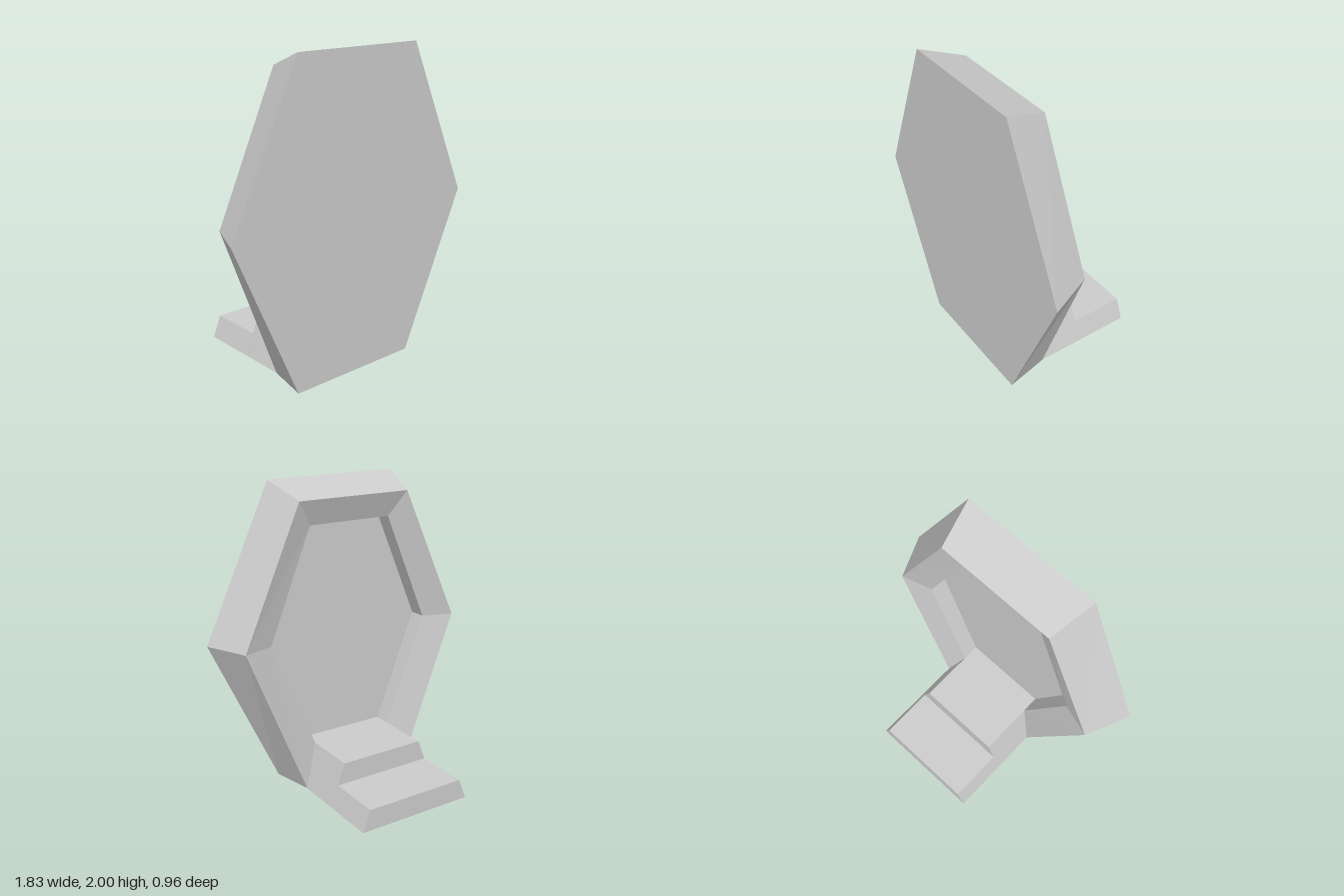
import * as THREE from 'three';

const material = new THREE.MeshStandardMaterial({ color: 0xcccccc, flatShading: true });

// Six corners, counter-clockwise from the front, with separate top and bottom heights.
function hexagon(half, side, bottom, top, z) {
  const mid = 1.01;
  return [
    [side, mid, z], [half, top, z], [-half, top, z],
    [-side, mid, z], [-half, bottom, z], [half, bottom, z],
  ];
}

// Skin a sequence of rings, closing the first and last.
function skinRings(rings) {
  const n = rings[0].length;
  const positions = [];
  const tri = (a, b, c) => positions.push(...a, ...b, ...c);
  for (let r = 0; r < rings.length - 1; r++) {
    for (let i = 0; i < n; i++) {
      const j = (i + 1) % n;
      const [a, b, c, d] = [rings[r][i], rings[r][j], rings[r + 1][j], rings[r + 1][i]];
      tri(a, d, c);
      tri(a, c, b);
    }
  }
  const first = rings[0];
  const last = rings[rings.length - 1];
  for (let i = 1; i < n - 1; i++) {
    tri(first[0], first[i], first[i + 1]);
    tri(last[0], last[i + 1], last[i]);
  }
  const geometry = new THREE.BufferGeometry();
  geometry.setAttribute('position', new THREE.Float32BufferAttribute(positions, 3));
  geometry.computeVertexNormals();
  return geometry;
}

// Block with sloping sides, running along z.
function taperedBlock(name, bottomHalf, topHalf, height, zBack, zFront) {
  const shape = new THREE.Shape([
    new THREE.Vector2(-bottomHalf, 0), new THREE.Vector2(bottomHalf, 0),
    new THREE.Vector2(topHalf, height), new THREE.Vector2(-topHalf, height),
  ]);
  const geometry = new THREE.ExtrudeGeometry(shape, { depth: zFront - zBack, bevelEnabled: false });
  geometry.translate(0, 0, zBack);
  const mesh = new THREE.Mesh(geometry, material);
  mesh.name = name;
  return mesh;
}

export function createModel() {
  const model = new THREE.Group();
  model.name = 'hexagonalPanelOnStand';

  // Panel: front face, outer taper, inner bevel, then a straight recess to its floor
  const panel = new THREE.Mesh(skinRings([
    hexagon(0.457, 0.915, 0, 2, 0.48),
    hexagon(0.395, 0.79, 0, 1.9, 0.195),
    hexagon(0.29, 0.585, 0.28, 1.735, 0.26),
    hexagon(0.29, 0.585, 0.28, 1.735, 0.378),
  ]), material);
  panel.name = 'panel';
  model.add(panel);

  // Stepped foot behind the panel
  model.add(taperedBlock('upperStep', 0.395, 0.29, 0.28, -0.11, 0.26));
  model.add(taperedBlock('lowerStep', 0.395, 0.342, 0.14, -0.48, -0.11));

  return model;
}
